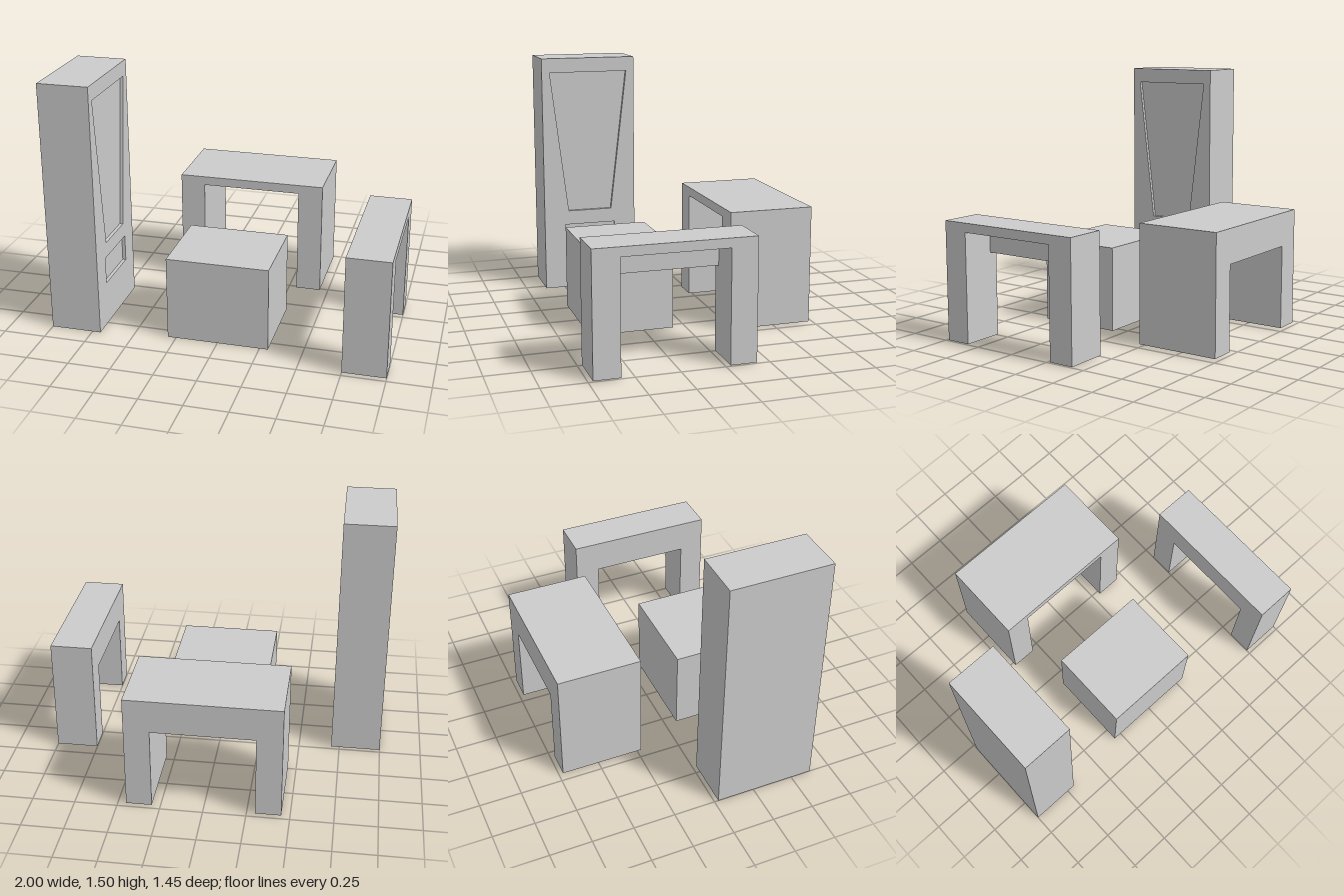
import * as THREE from 'three';

const material = new THREE.MeshStandardMaterial({ color: 0xcccccc, flatShading: true });

function addMesh(parent, name, geometry, x = 0, y = 0, z = 0) {
  const mesh = new THREE.Mesh(geometry, material);
  mesh.name = name;
  mesh.position.set(x, y, z);
  parent.add(mesh);
  return mesh;
}

const outline = (points) => points.map(([x, y]) => new THREE.Vector2(x, y));

function extrude(shape, depth) {
  return new THREE.ExtrudeGeometry(shape, { depth, bevelEnabled: false });
}

// Portal profile: two legs joined by a beam whose underside is at the given height
function portal(underside) {
  const w = 0.45, i = 0.3, base = 0.005, top = 0.702;
  return new THREE.Shape(outline([
    [-w, base], [-i, base], [-i, underside], [i, underside],
    [i, base], [w, base], [w, top], [-w, top],
  ]));
}

// Table with a thin apron hanging along its rear edge; rear at z = 0
function createTable(name, depth) {
  const apron = 0.05;
  const table = new THREE.Group();
  table.name = name;
  addMesh(table, 'rearFrameWithApron', extrude(portal(0.502), apron));
  addMesh(table, 'topAndLegs', extrude(portal(0.648), depth - apron), 0, 0, apron);
  return table;
}

// Tall cabinet with a shallow tapered window and a slot set into its +x face
function createCabinet() {
  const cabinet = new THREE.Group();
  cabinet.name = 'tallCabinet';
  const recess = 0.02, width = 0.3, height = 1.5, half = 0.3;
  addMesh(cabinet, 'cabinetBody', new THREE.BoxGeometry(width - recess, height, half * 2),
    -1 + (width - recess) / 2, height / 2, 0);

  const face = new THREE.Shape(outline([[-half, 0], [half, 0], [half, height], [-half, height]]));
  const openings = [
    [[-0.25, 1.41], [0.25, 1.41], [0.141, 0.51], [-0.141, 0.51]], // tapered window
    [[-0.165, 0.42], [0.165, 0.42], [0.165, 0.26], [-0.165, 0.26]], // slot
  ];
  for (const points of openings) face.holes.push(new THREE.Path(outline(points)));
  const panel = addMesh(cabinet, 'facePanel', extrude(face, recess), -1 + width - recess, 0, 0);
  panel.rotation.y = Math.PI / 2;
  cabinet.position.z = 0.325;
  return cabinet;
}

export function createModel() {
  const model = new THREE.Group();
  model.name = 'furnitureSet';

  model.add(createCabinet());

  // Solid block in the middle
  addMesh(model, 'centreBlock', new THREE.BoxGeometry(0.6, 0.5, 0.5), 0, 0.25, 0.325);

  // Wide table at the back
  const backTable = createTable('backTable', 0.5);
  backTable.position.z = -0.725;
  model.add(backTable);

  // Narrow table at the side, turned so its apron faces the middle
  const sideTable = createTable('sideTable', 0.25);
  sideTable.rotation.y = Math.PI / 2;
  sideTable.position.set(0.75, 0, 0.275);
  model.add(sideTable);

  return model;
}
